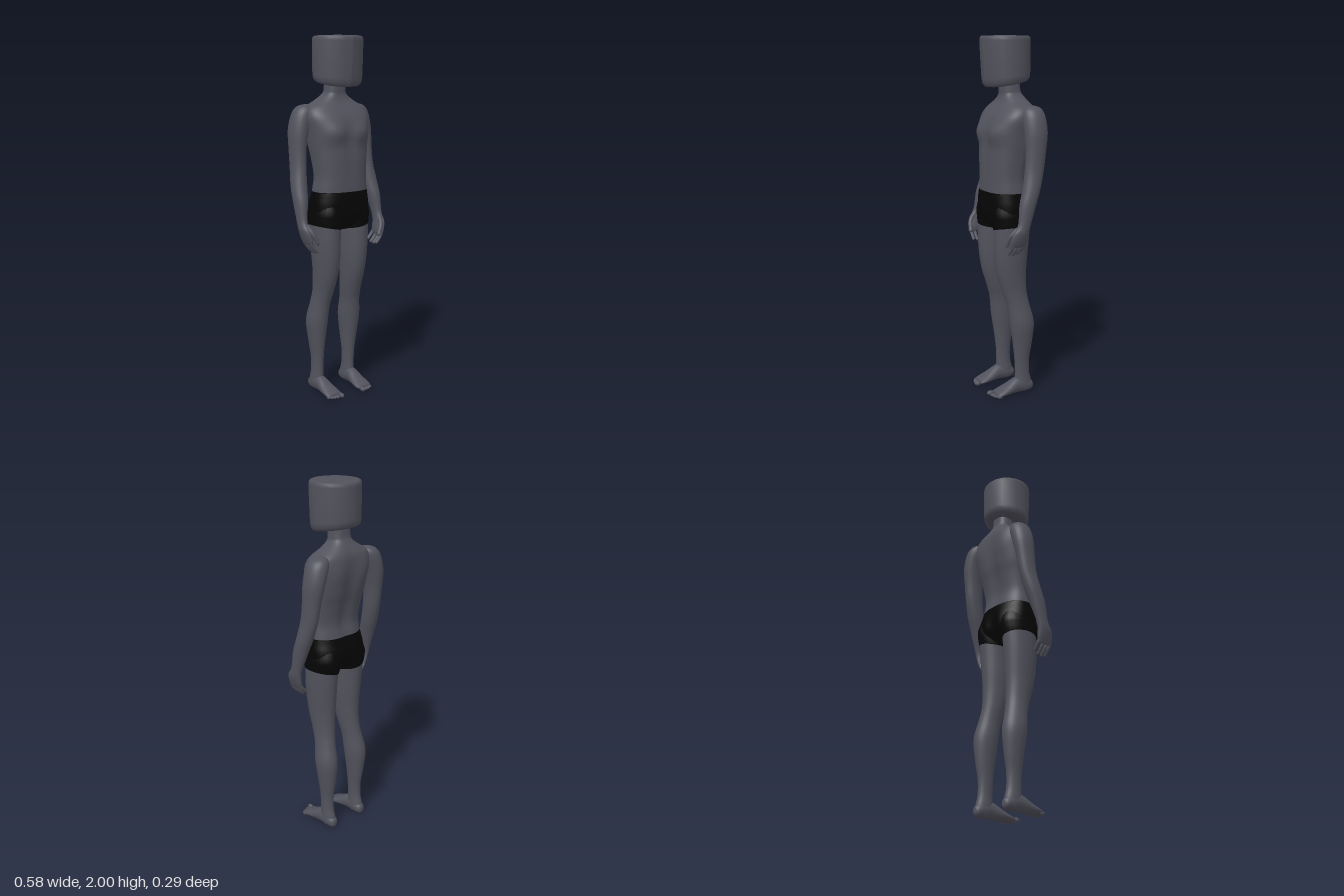
import * as THREE from 'three';

const skin = new THREE.MeshStandardMaterial({ color: 0x52525d });
skin.name = 'greySkin';
const cloth = new THREE.MeshStandardMaterial({ color: 0x050505 });
cloth.name = 'blackCloth';

const gauss = (d, w) => Math.exp(-(d * d) / (w * w));

// Smooth loft through elliptical sections [t, centreX, centreB, radiusX, radiusB].
// t runs along y (b = z), or along z (b = y) when alongZ is set.
function loft(sections, { side = 1, alongZ = false, power = 1, steps = 4, segs = 28, shape } = {}) {
  const rings = [];
  const last = sections.length - 1;
  for (let i = 0; i <= last * steps; i++) {
    const k = Math.min(Math.floor(i / steps), last - 1), f = i / steps - k;
    const at = j => sections[Math.max(0, Math.min(last, j))];
    rings.push(at(k).map((b, n) => {
      const a = at(k - 1)[n], c = at(k + 1)[n], d = at(k + 2)[n];
      return 0.5 * (2 * b + (c - a) * f + (2 * a - 5 * b + 4 * c - d) * f * f + (3 * b - a - 3 * c + d) * f ** 3);
    }));
  }
  const pos = [], idx = [];
  const v = new THREE.Vector3();
  const soft = n => Math.sign(n) * Math.abs(n) ** power;
  const add = (x, t, b) => {
    alongZ ? v.set(x, b, t) : v.set(x, t, b);
    if (shape) shape(v);
    pos.push(v.x * side, v.y, v.z);
  };
  for (const [t, cx, cb, rx, rb] of rings) {
    for (let j = 0; j < segs; j++) {
      const a = (j / segs) * Math.PI * 2;
      add(cx + rx * soft(Math.cos(a)), t, cb + rb * soft(Math.sin(a)));
    }
  }
  const first = rings[0], end = rings[rings.length - 1];
  add(first[1], first[0], first[2]);
  add(end[1], end[0], end[2]);
  // sections run in order of rising t
  const flip = (side < 0) !== alongZ;
  const tri = (a, b, c) => (flip ? idx.push(a, c, b) : idx.push(a, b, c));
  const capA = rings.length * segs, top = (rings.length - 1) * segs;
  for (let j = 0; j < segs; j++) {
    const n = (j + 1) % segs;
    for (let i = 0; i < rings.length - 1; i++) {
      const a = i * segs + j, b = i * segs + n;
      tri(a, a + segs, b);
      tri(b, a + segs, b + segs);
    }
    tri(capA, j, n);
    tri(capA + 1, top + n, top + j);
  }
  const g = new THREE.BufferGeometry();
  g.setAttribute('position', new THREE.Float32BufferAttribute(pos, 3));
  g.setIndex(idx);
  g.computeVertexNormals();
  return g;
}

function part(parent, name, geometry, material = skin) {
  const m = new THREE.Mesh(geometry, material);
  m.name = name;
  parent.add(m);
  return m;
}

// Rounded digit along a short path
function digit(parent, name, points, r) {
  const pts = points.map(p => new THREE.Vector3(...p));
  part(parent, name, new THREE.TubeGeometry(new THREE.CatmullRomCurve3(pts), 8, r, 8));
  const tip = part(parent, name + 'Tip', new THREE.SphereGeometry(r, 8, 6));
  tip.position.copy(pts[pts.length - 1]);
}

// Chest muscles, breastbone, spine and shoulder blades
function muscles(v) {
  const { x, y, z } = v, ax = Math.abs(x);
  if (z > 0) {
    v.z += 0.022 * gauss(ax - 0.085, 0.06) * gauss(y - 1.49, 0.055);
    v.z -= 0.008 * gauss(x, 0.02) * gauss(y - 1.42, 0.18);
  } else if (z < -0.04) {
    v.z += 0.022 * gauss(x, 0.035) * gauss(y - 1.38, 0.2);
    v.z -= 0.01 * gauss(ax - 0.1, 0.05) * gauss(y - 1.53, 0.07);
  }
}

// Cleft between the buttocks
function buttocks(v) {
  if (v.z < -0.03) v.z += 0.03 * gauss(v.x, 0.03) * gauss(v.y - 1.0, 0.09);
  else if (v.z > 0.03) v.z -= 0.012 * gauss(v.x, 0.02) * gauss(v.y - 0.97, 0.06);
}

function buildHead(parent) {
  const profile = [[0, 1.745], [0.1, 1.745], [0.122, 1.75], [0.134, 1.765], [0.138, 1.79],
    [0.139, 1.88], [0.139, 1.975], [0.137, 1.99], [0.131, 1.998], [0.125, 2], [0, 2]];
  const g = new THREE.LatheGeometry(profile.map(p => new THREE.Vector2(...p)), 20);
  const p = g.attributes.position;
  for (let i = 0; i < p.count; i++) {
    const low = (2 - p.getY(i)) / 0.255, z = p.getZ(i);
    p.setY(i, p.getY(i) - z * 0.15 * low);
    p.setZ(i, (z > 0 ? z * (1 - 0.13 * low) : z) - 0.008);
  }
  g.computeVertexNormals();
  part(parent, 'head', g);
}

function buildArm(parent, side) {
  const arm = new THREE.Group();
  arm.name = side > 0 ? 'leftArm' : 'rightArm';
  parent.add(arm);
  part(arm, 'armAndPalm', loft([
    [0.895, 0.242, 0.047, 0.01, 0.04], [0.92, 0.246, 0.045, 0.018, 0.049],
    [0.97, 0.257, 0.037, 0.023, 0.046], [1.02, 0.258, 0.016, 0.025, 0.037],
    [1.12, 0.25, -0.008, 0.038, 0.047], [1.2, 0.242, -0.034, 0.043, 0.05],
    [1.3, 0.231, -0.058, 0.041, 0.054], [1.4, 0.225, -0.07, 0.044, 0.058],
    [1.5, 0.214, -0.077, 0.053, 0.066], [1.585, 0.19, -0.076, 0.057, 0.064],
    [1.625, 0.175, -0.075, 0.042, 0.046], [1.638, 0.165, -0.075, 0.01, 0.012],
  ], { side }));
  [0.084, 0.06, 0.035, 0.01].forEach((z, i) => {
    const drop = [0.005, 0, 0.003, 0.018][i];
    digit(arm, 'finger', [[side * 0.245, 0.925, z], [side * 0.238, 0.885 + drop, z - 0.004],
      [side * 0.207, 0.85 + drop, z - 0.002]], 0.0095);
  });
  digit(arm, 'thumb', [[side * 0.252, 1.0, 0.05], [side * 0.235, 0.955, 0.088],
    [side * 0.212, 0.905, 0.098]], 0.0115);
}

function buildLeg(parent, side) {
  const leg = new THREE.Group();
  leg.name = side > 0 ? 'leftLeg' : 'rightLeg';
  parent.add(leg);
  part(leg, 'thighAndCalf', loft([
    [0.02, 0.11, -0.07, 0.03, 0.045], [0.06, 0.11, -0.066, 0.034, 0.052],
    [0.12, 0.11, -0.06, 0.031, 0.044], [0.2, 0.11, -0.058, 0.033, 0.045],
    [0.3, 0.112, -0.06, 0.044, 0.058], [0.42, 0.113, -0.056, 0.058, 0.071],
    [0.52, 0.105, -0.038, 0.053, 0.066], [0.6, 0.096, -0.018, 0.055, 0.071],
    [0.7, 0.093, 0.0, 0.063, 0.085], [0.8, 0.093, 0.005, 0.072, 0.096],
    [0.9, 0.095, 0.003, 0.077, 0.102], [1.0, 0.094, -0.002, 0.08, 0.105],
  ], { side }));
  part(leg, 'shortsLeg', loft([
    [0.968, 0.094, 0.0, 0.083, 0.107], [1.0, 0.094, -0.003, 0.085, 0.113],
    [1.05, 0.092, -0.004, 0.085, 0.118], [1.12, 0.085, 0, 0.075, 0.1],
  ], { side, shape: v => { v.y += (v.x - 0.094) * 0.2 * (v.y < 1.03 ? 1 : 0.4); } }), cloth);
  part(leg, 'foot', loft([
    [-0.128, 0.11, 0.037, 0.01, 0.014], [-0.115, 0.11, 0.037, 0.026, 0.03],
    [-0.075, 0.11, 0.048, 0.034, 0.045], [-0.02, 0.11, 0.05, 0.036, 0.045],
    [0.04, 0.108, 0.034, 0.045, 0.03], [0.085, 0.107, 0.023, 0.049, 0.018],
    [0.112, 0.105, 0.018, 0.043, 0.011],
  ], { side, alongZ: true }));
  const toes = [[0.076, 0.128, 0.014], [0.1, 0.122, 0.0095], [0.117, 0.118, 0.009],
    [0.132, 0.111, 0.009], [0.146, 0.102, 0.009]];
  for (const [x, z, r] of toes) {
    const toe = part(leg, 'toe', new THREE.SphereGeometry(r, 10, 8));
    toe.position.set(side * x, r + 0.004, z);
    toe.scale.z = r > 0.01 ? 1.5 : 1.9;
  }
}

export function createModel() {
  const model = new THREE.Group();
  model.name = 'figure';
  part(model, 'torsoAndNeck', loft([
    [1.13, 0, 0.005, 0.162, 0.106], [1.18, 0, 0.008, 0.16, 0.104],
    [1.25, 0, 0.012, 0.154, 0.1], [1.35, 0, 0.002, 0.163, 0.11],
    [1.42, 0, -0.01, 0.173, 0.118], [1.5, 0, -0.017, 0.184, 0.121],
    [1.57, 0, -0.027, 0.196, 0.113], [1.62, 0, -0.042, 0.178, 0.094],
    [1.655, 0, -0.047, 0.118, 0.075], [1.69, 0, -0.043, 0.067, 0.06],
    [1.72, 0, -0.037, 0.058, 0.055], [1.8, 0, -0.035, 0.055, 0.053],
  ], { power: 0.8, segs: 48, shape: muscles }));
  part(model, 'shorts', loft([
    [0.955, 0, 0.005, 0.035, 0.07], [0.98, 0, 0, 0.1, 0.095],
    [1.03, 0, -0.004, 0.168, 0.123], [1.09, 0, -0.001, 0.175, 0.124],
    [1.14, 0, 0.005, 0.168, 0.115], [1.167, 0, 0.007, 0.164, 0.109],
  ], { power: 0.85, segs: 48, shape: buttocks }), cloth);
  buildHead(model);
  for (const side of [1, -1]) {
    buildArm(model, side);
    buildLeg(model, side);
  }
  return model;
}
